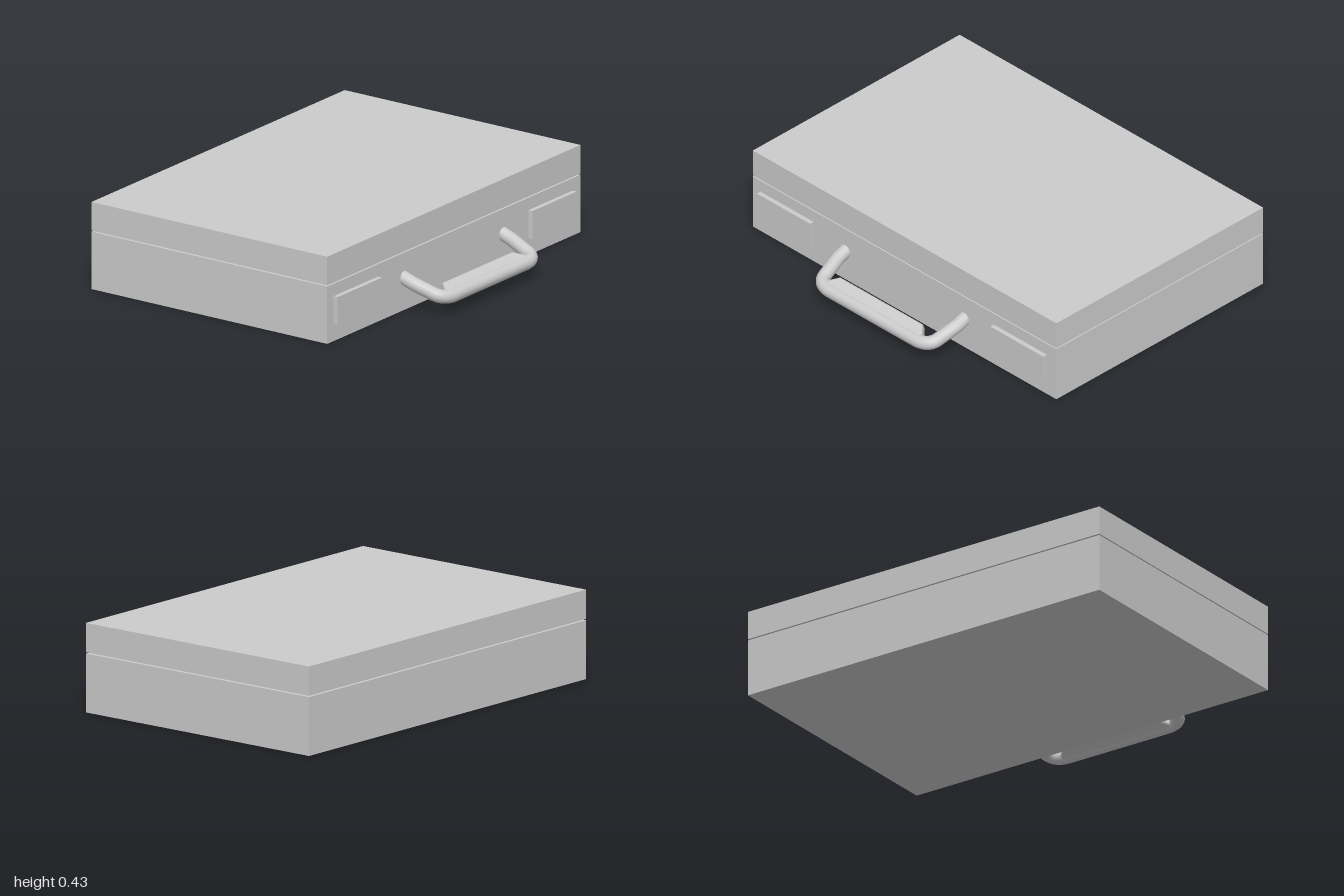
import * as THREE from 'three';

const grey = new THREE.MeshStandardMaterial({ color: 0xcccccc });

function part(name, geometry, parent) {
  const mesh = new THREE.Mesh(geometry, grey);
  mesh.name = name;
  parent.add(mesh);
  return mesh;
}

// Box given by its lower and upper corners
function slab(name, [x0, y0, z0], [x1, y1, z1], parent) {
  const mesh = part(name, new THREE.BoxGeometry(x1 - x0, y1 - y0, z1 - z0), parent);
  mesh.position.set((x0 + x1) / 2, (y0 + y1) / 2, (z0 + z1) / 2);
}

function createHandle() {
  // Built in the xz plane, then tilted so the grip hangs forward and down
  const handle = new THREE.Group();
  handle.name = 'handle';
  const v = (x, z) => new THREE.Vector3(x, 0, z);
  const side = (s) => [v(s * 0.392, -0.03), v(s * 0.392, 0.05), v(s * 0.37, 0.17), v(s * 0.355, 0.215), v(s * 0.29, 0.219)];
  const [a0, a1, a2, a3, a4] = side(-1);
  const [b0, b1, b2, b3, b4] = side(1);
  const path = new THREE.CurvePath();
  path.add(new THREE.LineCurve3(a0, a1));
  path.add(new THREE.LineCurve3(a1, a2));
  path.add(new THREE.QuadraticBezierCurve3(a2, a3, a4));
  path.add(new THREE.LineCurve3(a4, b4));
  path.add(new THREE.QuadraticBezierCurve3(b4, b3, b2));
  path.add(new THREE.LineCurve3(b2, b1));
  path.add(new THREE.LineCurve3(b1, b0));
  part('handleBar', new THREE.TubeGeometry(path, 90, 0.033, 16), handle);

  // Flat grip that widens the bar towards the case, with slanted ends
  const outline = new THREE.Shape([
    [-0.31, 0.225], [-0.31, 0.195], [-0.275, 0.155], [0.255, 0.155], [0.29, 0.195], [0.29, 0.225],
  ].map(([x, z]) => new THREE.Vector2(x, z)));
  const grip = new THREE.ExtrudeGeometry(outline, {
    depth: 0.03, bevelEnabled: true, bevelThickness: 0.014, bevelSize: 0.014, bevelSegments: 3,
  });
  grip.translate(0, 0, -0.015);
  grip.rotateX(Math.PI / 2);
  part('grip', grip, handle);

  handle.position.set(0, 0.157, 0.555);
  handle.rotation.x = 0.335;
  return handle;
}

export function createModel() {
  const model = new THREE.Group();
  model.name = 'briefcase';

  // Case halves with a thin seam between them
  slab('base', [-1, 0, -0.795], [1, 0.281, 0.556], model);
  slab('lid', [-1, 0.287, -0.795], [1, 0.427, 0.556], model);

  // Latch plates on the front
  slab('rightLatch', [-0.95, 0.083, 0.55], [-0.6, 0.22, 0.579], model);
  slab('leftLatch', [0.588, 0.083, 0.55], [0.938, 0.22, 0.579], model);

  model.add(createHandle());
  return model;
}
